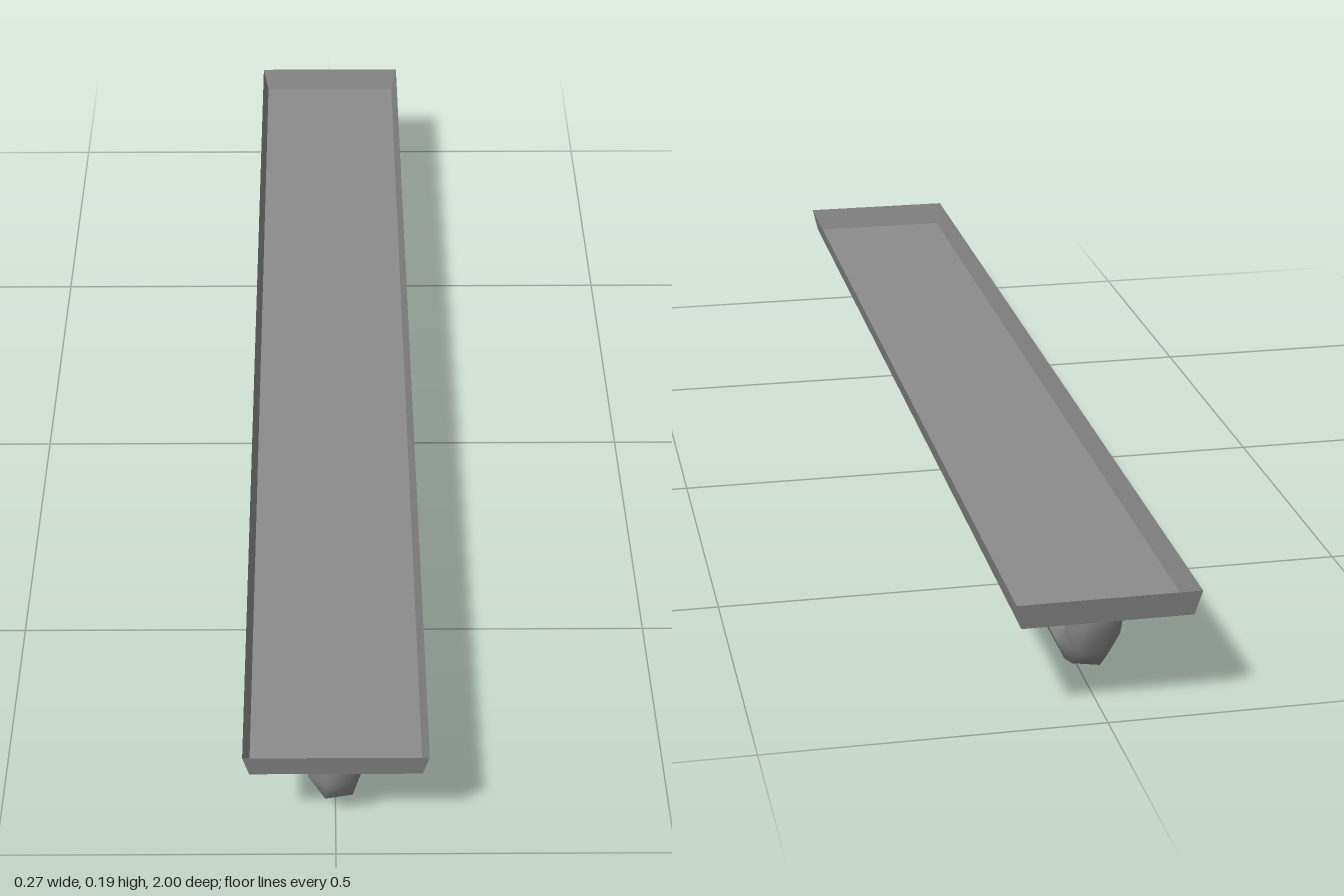
import * as THREE from 'three';

const SIDES = 6;
const RADIUS = 0.041;
const TWIST = THREE.MathUtils.degToRad(8);

// Open tray: a box without its lid, tapering towards the floor
function trayGeometry() {
  const height = 0.04;
  const geometry = new THREE.BoxGeometry(0.268, height, 2);
  const index = Array.from(geometry.index.array);
  index.splice(12, 6); // drop the top face
  geometry.setIndex(index);
  geometry.clearGroups();
  const p = geometry.attributes.position;
  for (let i = 0; i < p.count; i++) {
    if (p.getY(i) < 0) {
      p.setX(i, p.getX(i) - Math.sign(p.getX(i)) * 0.009);
      p.setZ(i, p.getZ(i) - Math.sign(p.getZ(i)) * 0.009);
    }
  }
  geometry.translate(0, 0.157 + height / 2, 0);
  geometry.computeVertexNormals();
  return geometry;
}

// Six-sided bar swept along a path of [z, y] points in the middle plane
function barGeometry(path) {
  const positions = [];
  const index = [];
  const points = path.map(([z, y]) => new THREE.Vector2(z, y));
  const direction = (a, b) => b.clone().sub(a).normalize();
  points.forEach((point, i) => {
    const before = direction(points[Math.max(i - 1, 0)], points[Math.max(i, 1)]);
    const last = points.length - 1;
    const after = direction(points[Math.min(i, last - 1)], points[Math.min(i + 1, last)]);
    const t = before.add(after).normalize();
    for (let j = 0; j < SIDES; j++) {
      const angle = TWIST + (j / SIDES) * Math.PI * 2;
      const across = RADIUS * Math.cos(angle);
      const up = RADIUS * Math.sin(angle);
      positions.push(across, point.y - t.x * up, point.x + t.y * up);
      if (i < last) {
        const a = i * SIDES + j;
        const b = i * SIDES + ((j + 1) % SIDES);
        index.push(a, a + SIDES, b, b, a + SIDES, b + SIDES);
      }
    }
  });
  const geometry = new THREE.BufferGeometry();
  geometry.setAttribute('position', new THREE.Float32BufferAttribute(positions, 3));
  geometry.setIndex(index);
  geometry.computeVertexNormals();
  return geometry;
}

export function createModel() {
  const metal = new THREE.MeshStandardMaterial({ color: 0x8c8c8c, side: THREE.DoubleSide });
  metal.name = 'grey metal';

  const model = new THREE.Group();
  model.name = 'trayWithHandle';

  const tray = new THREE.Mesh(trayGeometry(), metal);
  tray.name = 'tray';

  // Bent handle bar, slightly lower at the front
  const handle = new THREE.Mesh(barGeometry([
    [0.925, 0.157], [0.925, 0.112], [0.908, 0.079], [0.876, 0.054], [0.832, 0.041],
    [-0.828, 0.06], [-0.868, 0.072], [-0.898, 0.098], [-0.914, 0.132], [-0.914, 0.157],
  ]), metal);
  handle.name = 'handle';

  model.add(tray, handle);
  return model;
}
